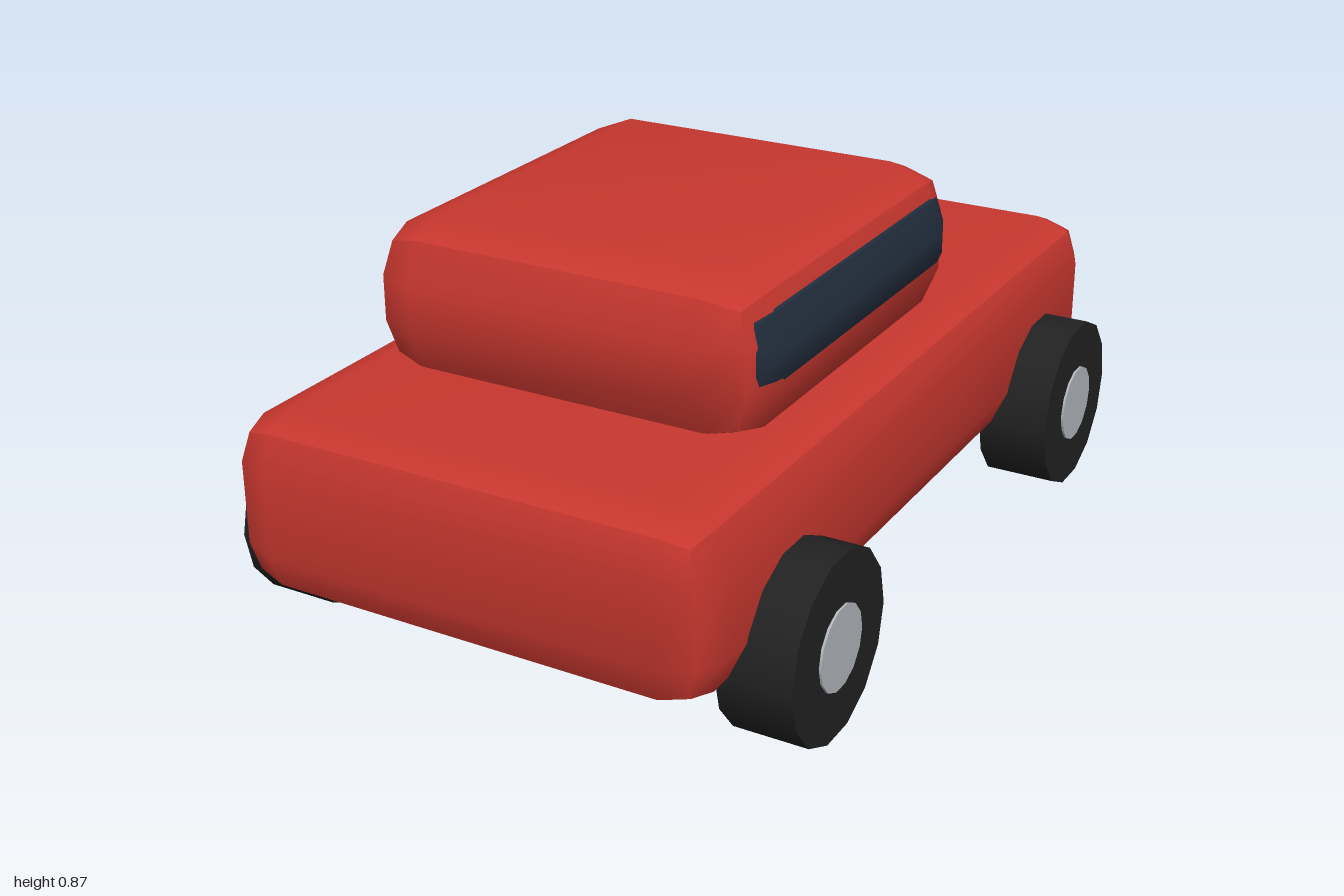
import * as THREE from 'three';

const paint = new THREE.MeshStandardMaterial({ color: 0xc8372f });
paint.name = 'red paint';
const glass = new THREE.MeshStandardMaterial({ color: 0x212d3c });
glass.name = 'dark glass';
const rubber = new THREE.MeshStandardMaterial({ color: 0x222222 });
rubber.name = 'black rubber';
const metal = new THREE.MeshStandardMaterial({ color: 0xb4b8be });
metal.name = 'silver metal';

// Box with two-step rounded edges; each side is smooth and creases at the ridge between sides
function softBox(w, h, d, r) {
  const geometry = new THREE.BoxGeometry(1, 1, 1, 3, 3, 3);
  const p = geometry.attributes.position;
  const core = new THREE.Vector3(w / 2 - r, h / 2 - r, d / 2 - r);
  const v = new THREE.Vector3();
  const dir = new THREE.Vector3();
  for (let i = 0; i < p.count; i++) {
    v.fromBufferAttribute(p, i);
    dir.set(...v.toArray().map((c) => (Math.abs(c) > 0.4 ? Math.sign(c) : 0))).normalize();
    v.set(Math.sign(v.x), Math.sign(v.y), Math.sign(v.z)).multiply(core).addScaledVector(dir, r);
    p.setXYZ(i, v.x, v.y, v.z);
  }
  geometry.computeVertexNormals();
  return geometry;
}

function addPart(parent, name, geometry, material, x, y, z) {
  const mesh = new THREE.Mesh(geometry, material);
  mesh.name = name;
  mesh.position.set(x, y, z);
  parent.add(mesh);
}

export function createModel() {
  const car = new THREE.Group();
  car.name = 'car';

  // Lower body and cabin
  addPart(car, 'body', softBox(1.09, 0.396, 2, 0.107), paint, 0, 0.362, 0);
  addPart(car, 'cabin', softBox(0.91, 0.35, 0.998, 0.125), paint, 0, 0.696, 0.145);

  // Glass block whose sides emerge from the cabin as side windows
  addPart(car, 'sideWindows', softBox(0.93, 0.235, 0.918, 0.093), glass, 0, 0.7105, 0.145);

  // Four wheels, each a tire with a hub running through it
  const tire = new THREE.CylinderGeometry(0.2, 0.2, 0.163, 14).rotateZ(Math.PI / 2);
  const hub = new THREE.CylinderGeometry(0.09, 0.09, 0.173, 14).rotateZ(Math.PI / 2);
  for (const [end, z] of [['front', 0.64], ['rear', -0.653]]) {
    for (const [side, s] of [['Left', 1], ['Right', -1]]) {
      const wheel = new THREE.Group();
      wheel.name = `${end}${side}Wheel`;
      wheel.position.set(s * 0.566, 0.195, z);
      addPart(wheel, 'tire', tire, rubber, 0, 0, 0);
      addPart(wheel, 'hub', hub, metal, 0, 0, 0);
      car.add(wheel);
    }
  }
  return car;
}
